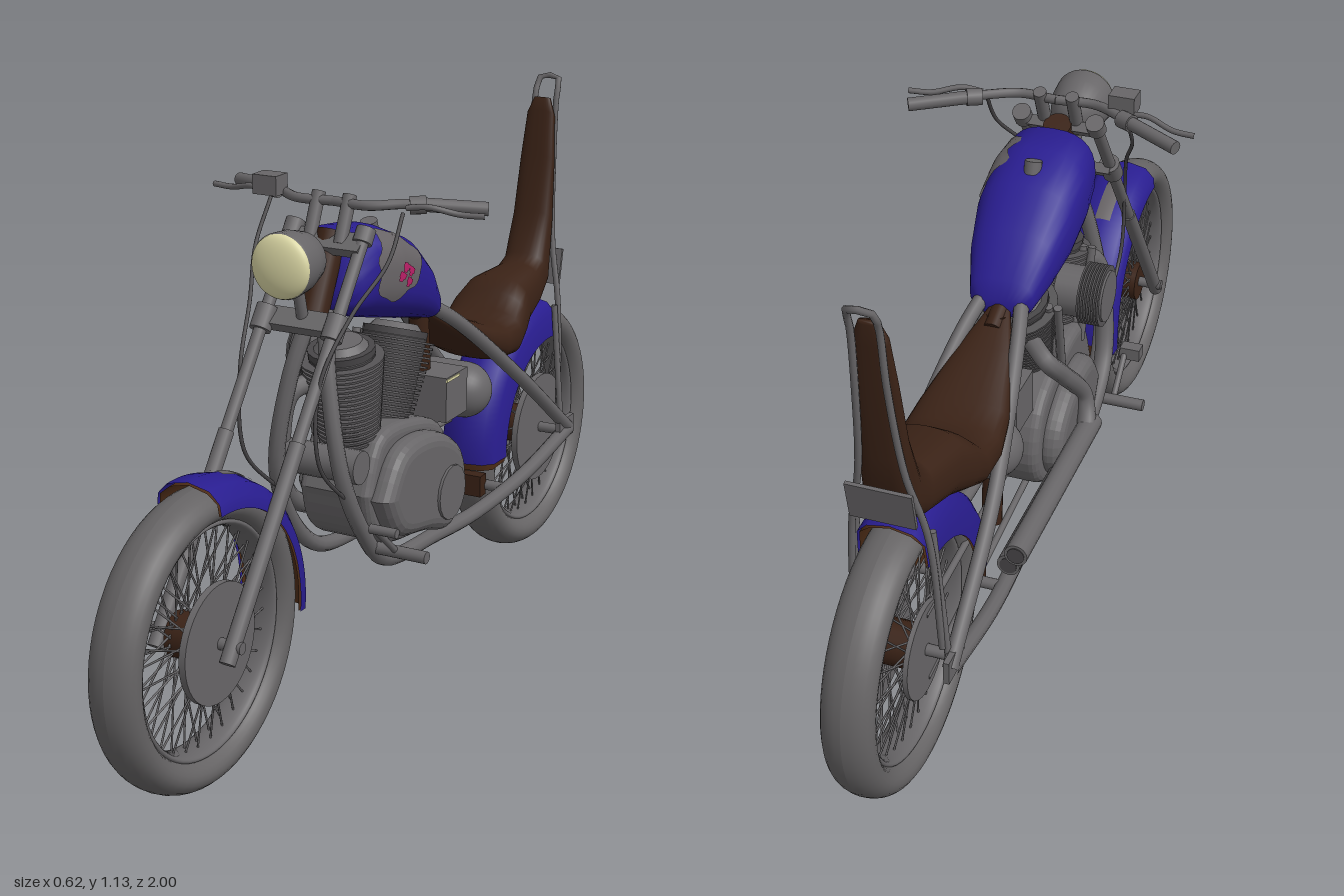
import * as THREE from 'three';
import { mergeGeometries } from 'three/addons/utils/BufferGeometryUtils.js';

const paint = (name, color, side = THREE.FrontSide) => {
  const m = new THREE.MeshStandardMaterial({ color, side });
  m.name = name;
  return m;
};
const V = (x, y, z) => new THREE.Vector3(x, y, z);
const rad = THREE.MathUtils.degToRad;
const AXLE_Y = 0.297, AXLE_Z = 0.705;

// Closed body skinned through rings of points, with fan caps on both ends
function loft(rings) {
  const n = rings[0].length, pos = [], idx = [];
  rings.forEach(r => r.forEach(p => pos.push(p.x, p.y, p.z)));
  for (let i = 0; i < rings.length - 1; i++) for (let j = 0; j < n; j++) {
    const a = i * n + j, b = i * n + (j + 1) % n;
    idx.push(a, b, a + n, b, b + n, a + n);
  }
  const last = (rings.length - 1) * n;
  for (let j = 1; j < n - 1; j++) idx.push(0, j + 1, j, last, last + j, last + j + 1);
  // Turn the faces outward when the enclosed volume is negative
  let vol = 0;
  const at = k => V().fromArray(pos, k * 3);
  for (let i = 0; i < idx.length; i += 3) vol += at(idx[i]).dot(at(idx[i + 1]).cross(at(idx[i + 2])));
  if (vol < 0) idx.reverse();
  const g = new THREE.BufferGeometry();
  g.setAttribute('position', new THREE.Float32BufferAttribute(pos, 3));
  g.setIndex(idx);
  g.computeVertexNormals();
  return g;
}

// Superellipse ring between a top point and a bottom point (z, y), half width w
function ring([zt, yt, zb, yb, w], e, n = 28) {
  return Array.from({ length: n }, (_, i) => {
    const a = i / n * Math.PI * 2, c = Math.cos(a), s = Math.sin(a);
    const px = Math.sign(c) * Math.abs(c) ** (2 / e), py = Math.sign(s) * Math.abs(s) ** (2 / e);
    return V(w * px, (yt + yb) / 2 + (yt - yb) / 2 * py, (zt + zb) / 2 + (zt - zb) / 2 * py);
  });
}

function rodGeo(a, b, r0, r1 = r0, sides = 16) {
  const d = b.clone().sub(a);
  const g = new THREE.CylinderGeometry(r1, r0, d.length(), sides);
  g.applyQuaternion(new THREE.Quaternion().setFromUnitVectors(V(0, 1, 0), d.normalize()));
  return g.translate((a.x + b.x) / 2, (a.y + b.y) / 2, (a.z + b.z) / 2);
}

export function createModel() {
  const metal = paint('greyMetal', 0x676567), dark = paint('darkCable', 0x484648), finMetal = paint('finMetal', 0x565456);
  const rubber = paint('tyreRubber', 0x656364), brown = paint('brownLeather', 0x3a2216);
  const liner = paint('brownLiner', 0x4a2a15, THREE.DoubleSide);
  const blue = paint('bluePaint', 0x291d90, THREE.DoubleSide);
  const cream = paint('lensCream', 0xdad6a4);
  const decalGrey = paint('decalGrey', 0x686466, THREE.DoubleSide), pink = paint('decalPink', 0xb81f66, THREE.DoubleSide);

  const model = new THREE.Group();
  model.name = 'motorcycle';
  const add = (name, geo, mat, parent = model) => {
    const m = new THREE.Mesh(geo, mat);
    m.name = name;
    parent.add(m);
    return m;
  };
  const rod = (name, a, b, r, mat = metal, r1 = r) => add(name, rodGeo(V(...a), V(...b), r, r1), mat);
  const tube = (name, pts, r, mat = metal) =>
    add(name, new THREE.TubeGeometry(new THREE.CatmullRomCurve3(pts.map(p => V(...p))), 64, r, 10), mat);
  const box = (name, [w, h, d], [x, y, z], mat = metal) =>
    add(name, new THREE.BoxGeometry(w, h, d).translate(x, y, z), mat);
  // Rounded plate outlined by (z, y) points, spanning x0 to x1
  const sidePlate = (name, pts, x0, x1, bevel) => {
    const s = new THREE.Shape(new THREE.SplineCurve([...pts, pts[0]].map(([z, y]) => new THREE.Vector2(-z, y))).getPoints(36));
    const g = new THREE.ExtrudeGeometry(s, { depth: x1 - x0 - 2 * bevel, bevelSize: bevel, bevelThickness: bevel, bevelOffset: -bevel, bevelSegments: 4 });
    return add(name, g.rotateY(Math.PI / 2).translate(x0 + bevel, 0, 0), metal);
  };
  // Solid of revolution about the x axis; profile is (radius, x)
  const latheX = (pts, seg = 48, start = 0, len = Math.PI * 2) =>
    new THREE.LatheGeometry(pts.map(p => new THREE.Vector2(...p)), seg, start, len).rotateZ(-Math.PI / 2);

  // Wheels
  for (const [name, z] of [['frontWheel', AXLE_Z], ['rearWheel', -AXLE_Z]]) {
    const w = new THREE.Group();
    w.name = name;
    w.position.set(0, AXLE_Y, z);
    model.add(w);
    const oval = (r, a, b) => Array.from({ length: 25 }, (_, i) => {
      const t = i / 24 * Math.PI * 2;
      return [r + a * Math.cos(t), b * Math.sin(t)];
    });
    add('tyre', latheX(oval(0.259, 0.036, 0.053), 64), rubber, w);
    add('rim', latheX(oval(0.226, 0.011, 0.034), 64), metal, w);
    const spokes = [];
    for (let i = 0; i < 64; i++) {
      const s = i % 2 ? 1 : -1, a = i / 64 * Math.PI * 2, h = a + (i % 4 < 2 ? 0.5 : -0.5);
      spokes.push(rodGeo(V(s * 0.032, 0.035 * Math.sin(h), 0.035 * Math.cos(h)),
        V(s * 0.008, 0.22 * Math.sin(a), 0.22 * Math.cos(a)), 0.0022, 0.0022, 5));
    }
    add('spokes', mergeGeometries(spokes), metal, w);
    add('hub', rodGeo(V(-0.045, 0, 0), V(0.045, 0, 0), 0.046), brown, w);
    add('axle', rodGeo(V(-0.1, 0, 0), V(0.1, 0, 0), 0.012), metal, w);
    const discR = z > 0 ? 0.118 : 0.13;
    add('brakeDisc', rodGeo(V(0.038, 0, 0), V(0.052, 0, 0), discR, discR, 40), metal, w);
    if (z < 0) add('sprocket', rodGeo(V(-0.05, 0, 0), V(-0.04, 0, 0), 0.1, 0.1, 40), metal, w);
  }

  // Fenders with a brown lining and a small patch along the crown
  for (const [name, z, inner, start, len, after, patch] of [
    ['frontFender', AXLE_Z, 0.258, -187, 100, 0, -124], ['rearFender', -AXLE_Z, 0.225, -97, 98, 3, -95]]) {
    const arc = (part, prof, from, sweep, mat) => add(part, latheX(prof, 32, rad(from), rad(sweep)).translate(0, AXLE_Y, z), mat);
    const prof = d => [[inner, -0.07 + d], [0.282, -0.067 + d], [0.304 - d, -0.046 + d], [0.314 - d, 0],
      [0.304 - d, 0.046 - d], [0.282, 0.067 - d], [inner, 0.07 - d]];
    arc(name, prof(0), start, len, blue);
    arc(name + 'Lining', prof(0.005), start, len + after, liner);
    arc(name + 'Patch', [[0.3125, -0.018], [0.3165, 0], [0.3125, 0.018]], patch, 20, decalGrey);
    if (z > 0) arc(name + 'Tip', [[0.306, -0.046], [0.316, 0], [0.306, 0.046]], start, 7, liner);
  }

  // Fuel tank: rows are z, top y, bottom y, half width
  const tankRows = [[0.225, 0.86, 0.815, 0.05], [0.21, 0.92, 0.8, 0.08], [0.165, 0.972, 0.785, 0.095], [0.09, 0.962, 0.765, 0.105],
    [0, 0.925, 0.742, 0.105], [-0.08, 0.86, 0.722, 0.09], [-0.145, 0.785, 0.705, 0.068], [-0.16, 0.745, 0.71, 0.045]];
  add('fuelTank', loft(tankRows.map(([z, t, b, w]) => ring([z, t, z, b, w], 2.6))), blue);
  rod('fuelCap', [0, 0.93, 0.04], [0, 0.956, 0.048], 0.018);
  // Side of the tank at a given z and y
  const tankX = (z, y) => {
    const i = Math.max(0, tankRows.findIndex((r, k) => k < 7 && z <= r[0] && z >= tankRows[k + 1][0]));
    const a = tankRows[i], b = tankRows[i + 1], f = (a[0] - z) / (a[0] - b[0]);
    const [, t, bt, w] = a.map((v, k) => v + (b[k] - v) * f);
    const q = Math.min(1, Math.abs((y - (t + bt) / 2) / ((t - bt) / 2)));
    return w * (1 - q ** 2.6) ** (1 / 2.6);
  };
  // Painted patches that follow the tank side
  const decal = (name, z, y, rz, ry, wobble, lift, mat) => {
    const g = new THREE.RingGeometry(0.001, 1, 40, 8), p = g.attributes.position;
    for (let i = 0; i < p.count; i++) {
      const a = Math.atan2(p.getY(i), p.getX(i)), k = 1 + wobble * (Math.sin(3 * a + 2) + 0.7 * Math.sin(7 * a + 1));
      const pz = z - p.getX(i) * rz * k, py = y + p.getY(i) * ry * k;
      p.setXYZ(i, tankX(pz, py) + lift, py, pz);
    }
    g.computeVertexNormals();
    add(name, g, mat);
  };
  decal('tankPatch', 0.1, 0.886, 0.08, 0.068, 0.09, 0.004, decalGrey);
  for (const [z, y] of [[0.105, 0.866], [0.07, 0.87], [0.09, 0.882], [0.08, 0.85]])
    decal('tankFlower', z, y, 0.012, 0.01, 0.15, 0.007, pink);

  // Seat and backrest: rows are top z, top y, bottom z, bottom y, half width
  const seatRows = [[-0.15, 0.735, -0.15, 0.715, 0.02], [-0.25, 0.69, -0.24, 0.645, 0.06], [-0.37, 0.645, -0.35, 0.575, 0.093],
    [-0.43, 0.632, -0.42, 0.54, 0.102], [-0.485, 0.642, -0.49, 0.53, 0.1], [-0.515, 0.675, -0.54, 0.55, 0.094],
    [-0.55, 0.702, -0.6, 0.575, 0.08], [-0.66, 0.708, -0.69, 0.595, 0.06], [-0.692, 0.725, -0.75, 0.64, 0.054],
    [-0.73, 0.82, -0.772, 0.78, 0.048], [-0.755, 0.95, -0.785, 0.92, 0.042], [-0.772, 1.05, -0.795, 1.03, 0.034], [-0.782, 1.08, -0.797, 1.075, 0.02]];
  add('seat', loft(seatRows.map(r => ring(r, 2.6))), brown);

  // Sissy bar and plate
  const bar = [[0.09, 0.33, -0.725], [0.075, 0.6, -0.74], [0.045, 0.75, -0.765], [0.03, 0.95, -0.793],
    [0.027, 1.08, -0.808], [0.026, 1.112, -0.822], [0.02, 1.123, -0.828], [0.008, 1.124, -0.829]];
  tube('sissyBar', [...bar, ...bar.map(([x, y, z]) => [-x, y, z]).reverse()], 0.007);
  add('numberPlate', new THREE.BoxGeometry(0.13, 0.085, 0.008).rotateX(-0.2).translate(0, 0.68, -0.775), metal);

  // Mirrored frame, fork and controls
  for (const s of [1, -1]) {
    const m = pts => pts.map(([x, y, z]) => [x * s, y, z]);
    const pair = (name, a, b, r, mat, r1) => rod(name, ...m([a, b]), r, mat, r1);
    tube('frameCradle', m([[0.015, 0.82, 0.25], [0.045, 0.68, 0.29], [0.075, 0.5, 0.295], [0.085, 0.36, 0.23], [0.08, 0.265, 0.13],
      [0.08, 0.235, -0.1], [0.09, 0.228, -0.28], [0.105, 0.25, -0.5], [0.11, 0.295, -0.74]]), 0.017);
    tube('seatStay', m([[0.03, 0.76, -0.1], [0.06, 0.69, -0.22], [0.1, 0.5, -0.47], [0.11, 0.295, -0.74]]), 0.016);
    box('axlePlate', [0.012, 0.05, 0.08], [0.11 * s, 0.3, -0.72]);
    pair('fenderStrut', [0.075, 0.6, -0.72], [0.1, 0.3, -0.72], 0.007);
    pair('forkTube', [0.08, 0.5, 0.557], [0.08, 0.975, 0.203], 0.013);
    pair('forkSlider', [0.08, 0.27, 0.728], [0.08, 0.62, 0.468], 0.016);
    pair('forkCap', [0.08, 0.955, 0.218], [0.08, 0.98, 0.2], 0.02);
    pair('forkClamp', [0.08, 0.79, 0.341], [0.08, 0.83, 0.311], 0.022);
    pair('riser', [0.035, 0.95, 0.225], [0.035, 1.04, 0.185], 0.014);
    tube('handlebar', m([[0, 1.025, 0.19], [0.08, 1.025, 0.195], [0.14, 1.028, 0.16], [0.2, 1.025, 0.125], [0.28, 1.018, 0.083]]), 0.01);
    pair('grip', [0.175, 1.026, 0.138], [0.285, 1.018, 0.081], 0.014);
    pair('switchHousing', [0.15, 1.025, 0.153], [0.178, 1.026, 0.137], 0.018);
    tube('lever', m([[0.155, 1.025, 0.175], [0.2, 1.03, 0.17], [0.26, 1.018, 0.15], [0.308, 1.018, 0.142]]), 0.006);
    tube('controlCable', m([[0.15, 1.015, 0.18], [0.15, 0.93, 0.24], [0.115, 0.84, 0.32], [0.09, 0.72, 0.4],
      [0.085, 0.56, 0.4], [0.08, 0.43, 0.27]]), 0.004, dark);
    pair('footPeg', [0.08, 0.31, 0.185], [0.21, 0.31, 0.185], 0.013);
    pair('pedalArm', [0.14, 0.31, 0.185], [0.14, 0.39, 0.275], 0.007);
  }
  rod('shiftPedal', [0.13, 0.39, 0.275], [0.19, 0.39, 0.275], 0.01);
  box('brakePedal', [0.045, 0.028, 0.03], [-0.153, 0.385, 0.275]);

  // Steering head, triple trees and headlight
  rod('steeringHead', [0, 0.8, 0.277], [0, 0.965, 0.195], 0.03, brown);
  rod('backbone', [0, 0.87, 0.23], [0, 0.7, -0.2], 0.02, brown);
  for (const [y, z] of [[0.81, 0.315], [0.95, 0.222]])
    add('tripleTree', new THREE.BoxGeometry(0.17, 0.022, 0.045).rotateX(0.64).translate(0, y, z), metal);
  add('headlightShell', new THREE.LatheGeometry([[0, 0], [0.03, 0.004], [0.052, 0.03], [0.063, 0.07], [0.066, 0.108], [0.061, 0.114]]
    .map(p => new THREE.Vector2(...p)), 32).rotateX(Math.PI / 2).translate(0, 0.937, 0.277), metal);
  add('headlightLens', new THREE.SphereGeometry(0.064, 32, 12, 0, Math.PI * 2, 0, Math.PI / 2).scale(1, 0.35, 1)
    .rotateX(Math.PI / 2).translate(0, 0.937, 0.389), cream);
  rod('headlightBracket', [0, 0.81, 0.31], [0, 0.89, 0.33], 0.012);
  box('fluidReservoir', [0.055, 0.04, 0.045], [-0.145, 1.045, 0.19]);

  // Engine cases
  sidePlate('crankcase', [[0.2, 0.42], [0.14, 0.53], [0, 0.53], [-0.13, 0.48], [-0.17, 0.36], [-0.1, 0.27], [0.08, 0.28], [0.17, 0.33]], -0.085, 0.085, 0.02);
  const cover = [[0.19, 0.41], [0.13, 0.49], [0.05, 0.51], [-0.06, 0.49], [-0.15, 0.43], [-0.168, 0.34], [-0.1, 0.262], [0, 0.285], [0.13, 0.32]];
  sidePlate('primaryCover', cover, 0.06, 0.128, 0.03);
  sidePlate('timingCover', cover.map(([z, y]) => [z * 0.8, 0.39 + (y - 0.39) * 0.85]), -0.125, -0.06, 0.03);
  rod('coverBoss', [0.1, 0.35, -0.08], [0.134, 0.35, -0.08], 0.06);
  rod('generator', [-0.09, 0.5, 0.24], [0.09, 0.5, 0.24], 0.035);

  // Finned V-twin cylinders
  for (const [name, base, top] of [['frontCylinder', V(0, 0.49, 0.125), V(0, 0.72, 0.163)], ['rearCylinder', V(0, 0.49, 0.005), V(0, 0.7, -0.068)]]) {
    const at = t => base.clone().lerp(top, t);
    add(name, rodGeo(base, top, 0.055, 0.07), dark);
    const fins = [];
    for (let i = 0; i < 18; i++) {
      const t = 0.12 + i * 0.045, r = 0.064 + 0.023 * i / 17;
      fins.push(rodGeo(at(t), at(t + 0.02), r, r, 24));
    }
    add(name + 'Fins', mergeGeometries(fins), finMetal);
    add(name + 'RockerCover', rodGeo(at(0.93), at(1.06), 0.07, 0.045), metal);
    for (const x of [-0.08, -0.06]) add('pushrod', rodGeo(at(0.02).setX(x), at(0.95).setX(x - 0.012), 0.009), metal);
  }

  // Air filter and exhausts
  for (let i = 0; i < 7; i++) rod('airFilterFin', [-0.16 + i * 0.007, 0.665, 0.05], [-0.156 + i * 0.007, 0.665, 0.05], 0.066, finMetal);
  rod('airFilter', [-0.165, 0.665, 0.05], [-0.06, 0.665, 0.05], 0.055);
  const pipes = [[[-0.05, 0.65, 0.19], [-0.075, 0.63, 0.24], [-0.095, 0.52, 0.245], [-0.11, 0.4, 0.2], [-0.118, 0.325, 0.06], [-0.118, 0.315, -0.1]],
    [[-0.05, 0.62, -0.1], [-0.09, 0.6, -0.13], [-0.11, 0.54, -0.08], [-0.13, 0.44, 0], [-0.146, 0.385, -0.03], [-0.148, 0.378, -0.1]]];
  pipes.forEach((p, i) => {
    const [x, y, z] = p[5], end = i ? -0.48 : -0.44;
    tube('exhaustHeader', p, 0.02);
    rod('muffler', [x, y, z + 0.1 * i], [x, y, end], 0.024);
    rod('mufflerEnd', [x, y, end - 0.002], [x, y, end], 0.018, dark);
  });

  // Middle of the frame: seat post, oil tank, battery and drive belt
  rod('seatPost', [0, 0.72, -0.17], [0, 0.23, -0.215], 0.022, brown);
  const oilTank = new THREE.CapsuleGeometry(0.063, 0.08, 12, 28).rotateZ(Math.PI / 2).translate(0, 0.5, -0.315);
  add('oilTank', oilTank, metal);
  box('batteryBox', [0.15, 0.1, 0.1], [0.01, 0.53, -0.19]);
  box('batteryTrim', [0.003, 0.006, 0.06], [0.086, 0.574, -0.17], cream);
  for (const [y0, y1] of [[0.4, 0.375], [0.29, 0.22]]) rod('driveBelt', [-0.045, y0, -0.08], [-0.045, y1, -0.7], 0.007);
  box('fenderMount', [0.1, 0.05, 0.03], [0, 0.245, -0.4], brown);
  rod('rearCrossTube', [-0.1, 0.24, -0.42], [0.1, 0.24, -0.42], 0.012);
  return model;
}
